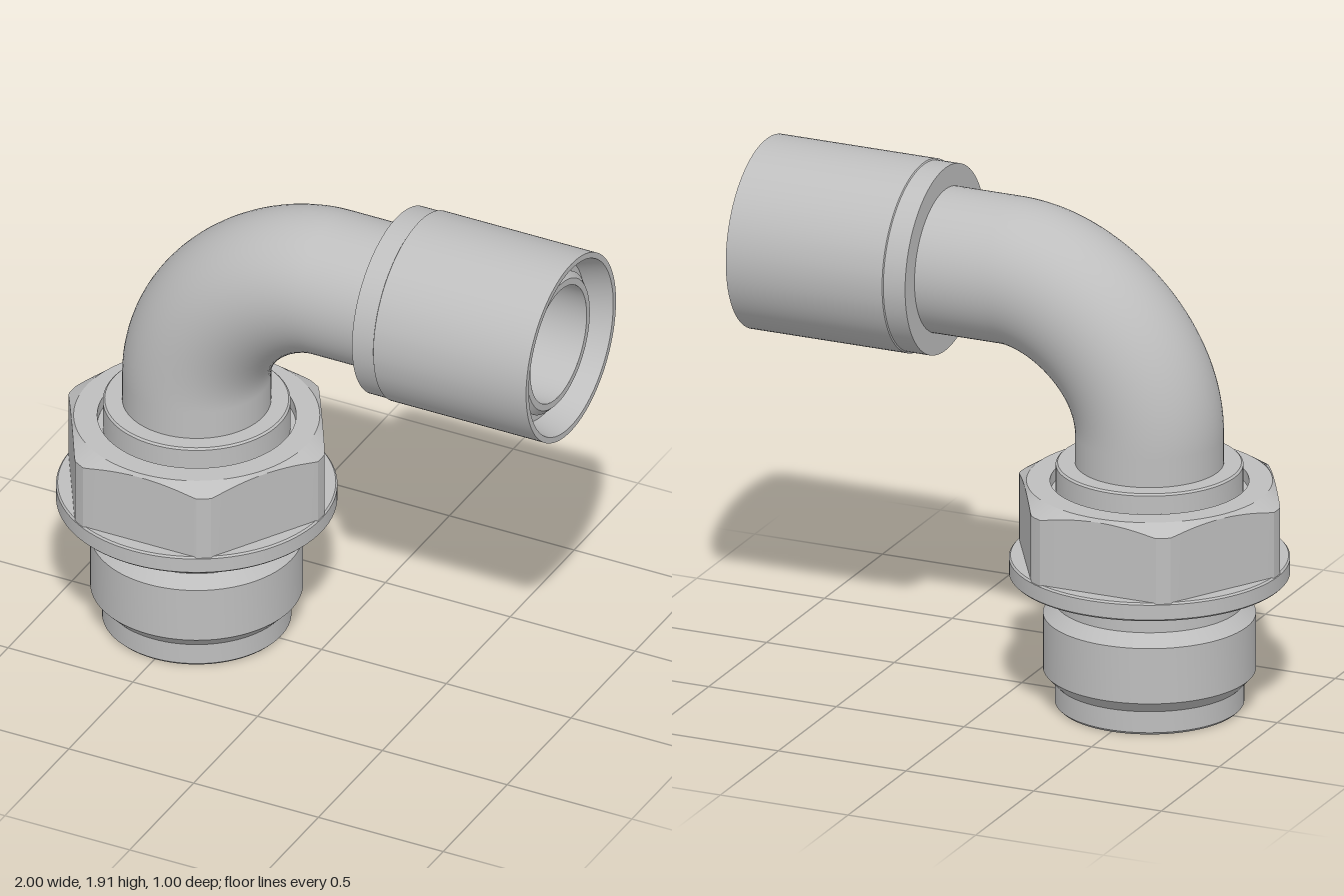
import * as THREE from 'three';
import { toCreasedNormals } from 'three/addons/utils/BufferGeometryUtils.js';

const AXIS_X = -0.5;   // vertical axis of the threaded end
const AXIS_Y = 1.563;  // height of the horizontal outlet
const BEND = 0.54;     // elbow centreline radius

export function createModel() {
  const model = new THREE.Group();
  const steel = new THREE.MeshStandardMaterial({ color: 0xbebebe, side: THREE.DoubleSide });

  function add(name, geometry, x = 0, y = 0) {
    const mesh = new THREE.Mesh(geometry, steel);
    mesh.name = name;
    mesh.position.set(x, y, 0);
    model.add(mesh);
    return mesh;
  }
  const lathe = (points) => toCreasedNormals(
    new THREE.LatheGeometry(points.map(([r, h]) => new THREE.Vector2(r, h)), 96), 0.35);

  // Threaded stud: stepped bore, lower lip, thread body and neck
  add('threadedStud', lathe([
    [0.22, 0.24], [0.25, 0.24], [0.25, 0.12], [0.285, 0],
    [0.328, 0], [0.338, 0.01], [0.338, 0.09], [0.38, 0.135],
    [0.38, 0.345], [0.338, 0.39], [0.338, 0.5],
  ]), AXIS_X);

  // Round flange under the hexagon
  add('flange', lathe([
    [0.33, 0.492], [0.495, 0.492], [0.502, 0.499], [0.502, 0.555], [0.496, 0.562], [0.4, 0.562],
  ]), AXIS_X);

  // Hexagon with corners trimmed to a circle and a conical top chamfer
  add('hexNut', hexNut(), AXIS_X);

  // Collar seated in the nut
  add('collar', lathe([
    [0.355, 0.8], [0.335, 0.8], [0.335, 0.908], [0.328, 0.915], [0.25, 0.915],
  ]), AXIS_X);

  // Elbow pipe, outside and bore
  const path = new THREE.CurvePath();
  const v = (x, y) => new THREE.Vector3(x, y, 0);
  const bendStart = AXIS_Y - BEND, bendEnd = AXIS_X + BEND;
  const k = BEND * 0.4477;
  path.add(new THREE.LineCurve3(v(AXIS_X, 0.24), v(AXIS_X, bendStart)));
  path.add(new THREE.CubicBezierCurve3(
    v(AXIS_X, bendStart), v(AXIS_X, AXIS_Y - k), v(bendEnd - k, AXIS_Y), v(bendEnd, AXIS_Y)));
  path.add(new THREE.LineCurve3(v(bendEnd, AXIS_Y), v(0.95, AXIS_Y)));
  add('elbowBore', new THREE.TubeGeometry(path, 120, 0.22, 64));

  const outer = new THREE.CurvePath();
  outer.add(new THREE.LineCurve3(v(AXIS_X, 0.85), v(AXIS_X, bendStart)));
  outer.add(path.curves[1]);
  outer.add(new THREE.LineCurve3(v(bendEnd, AXIS_Y), v(0.89, AXIS_Y)));
  add('elbowPipe', new THREE.TubeGeometry(outer, 120, 0.266, 64));

  // Outlet sleeve with a slightly narrower rear band and a recessed mouth
  add('outletSleeve', lathe([
    [0.26, 0.3], [0.347, 0.3], [0.347, 0.385], [0.352, 0.388], [0.352, 1],
    [0.33, 1], [0.3, 0.9], [0.26, 0.9],
  ]).rotateZ(-Math.PI / 2), 0, AXIS_Y);

  // Pipe nose inside the sleeve
  add('pipeNose', lathe([
    [0.266, 0.88], [0.266, 0.93], [0.245, 0.95], [0.22, 0.95],
  ]).rotateZ(-Math.PI / 2), 0, AXIS_Y);

  return model;
}

function hexNut() {
  const steps = 120, flat = 0.447, trim = 0.5, top = 0.846;
  const sector = Math.PI / 3;
  const positions = [], index = [];
  const rows = 5;
  for (let i = 0; i <= steps; i++) {
    const a = (i / steps) * Math.PI * 2;
    // Corners lie on the x axis, flats face front and back
    const r = Math.min(trim, flat / Math.cos((a % sector) - sector / 2));
    const section = [
      [r, 0.555],
      [r, top - 0.012 - (r - flat) * 0.5],
      [flat - 0.008, top],
      [0.355, top],
      [0.355, 0.8],
    ];
    for (const [q, y] of section) positions.push(q * Math.cos(a), y, -q * Math.sin(a));
  }
  for (let i = 0; i < steps; i++) {
    for (let j = 0; j < rows - 1; j++) {
      const p = i * rows + j, n = p + rows;
      index.push(p, n, n + 1, p, n + 1, p + 1);
    }
  }
  const geometry = new THREE.BufferGeometry();
  geometry.setAttribute('position', new THREE.Float32BufferAttribute(positions, 3));
  geometry.setIndex(index);
  return toCreasedNormals(geometry, 0.25);
}
